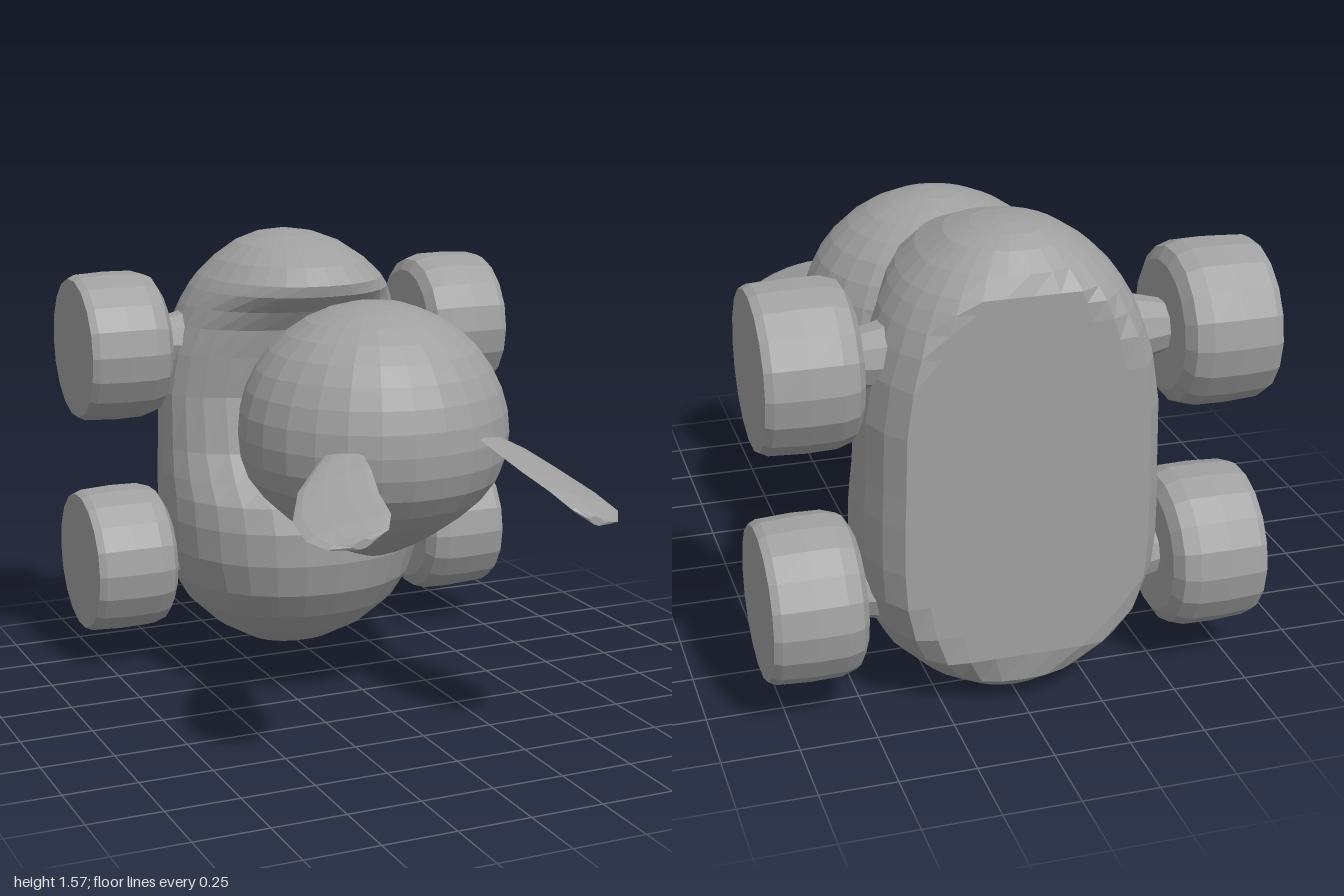
import * as THREE from 'three';

const grey = new THREE.MeshStandardMaterial({ color: 0xa0a0a0, flatShading: true });
grey.name = 'plain grey';

function add(parent, name, geometry) {
  const mesh = new THREE.Mesh(geometry, grey);
  mesh.name = name;
  parent.add(mesh);
  return mesh;
}

// Skins a list of closed rings (arrays of [x, y, z]) and closes both ends with fans
function loft(rings) {
  const n = rings[0].length;
  const points = rings.flat();
  const index = [];
  for (let r = 0; r < rings.length - 1; r++) {
    for (let i = 0; i < n; i++) {
      const a = r * n + i, b = r * n + (i + 1) % n;
      index.push(a, a + n, b, b, a + n, b + n);
    }
  }
  const cap = (row, flip) => {
    const centre = points.length;
    points.push([0, 1, 2].map(k => rings[row].reduce((s, p) => s + p[k], 0) / n));
    for (let i = 0; i < n; i++) {
      const a = row * n + i, b = row * n + (i + 1) % n;
      index.push(centre, flip ? b : a, flip ? a : b);
    }
  };
  cap(0, false);
  cap(rings.length - 1, true);
  const g = new THREE.BufferGeometry();
  g.setAttribute('position', new THREE.Float32BufferAttribute(points.flat(), 3));
  g.setIndex(index);
  g.computeVertexNormals();
  return g;
}

// Upright body: bulging ends, a saddle in front and a flat back
function bodyGeometry() {
  // height, half width, front z, back z before flattening
  const rows = [
    [0.004, 0.05, -0.64, -0.76], [0.03, 0.17, -0.54, -0.86], [0.1, 0.29, -0.41, -0.95],
    [0.2, 0.395, -0.295, -1.03], [0.3, 0.45, -0.225, -1.1], [0.42, 0.485, -0.19, -1.14],
    [0.54, 0.495, -0.19, -1.15], [0.63, 0.495, -0.225, -1.15], [0.7, 0.495, -0.31, -1.15],
    [0.8, 0.49, -0.4, -1.15], [1.0, 0.485, -0.45, -1.15], [1.15, 0.46, -0.425, -1.14],
    [1.25, 0.425, -0.4, -1.11], [1.32, 0.395, -0.35, -1.07], [1.38, 0.36, -0.28, -1.03],
    [1.42, 0.33, -0.27, -1.0], [1.48, 0.27, -0.33, -0.94], [1.535, 0.19, -0.46, -0.88],
    [1.565, 0.11, -0.57, -0.82], [1.578, 0.03, -0.66, -0.74],
  ];
  const sides = 28, mid = -0.7;
  return loft(rows.map(([y, w, front, back]) => Array.from({ length: sides }, (_, i) => {
    const a = i / sides * Math.PI * 2, c = Math.cos(a), s = Math.sin(a);
    const x = w * Math.sign(c) * Math.abs(c) ** 0.9;
    const z = mid + (s > 0 ? (front - mid) * s ** 0.95 : (mid - back) * s);
    return [x, y, Math.max(z, -0.965)];
  })));
}

// Round head, tapering to the chin, cut flat behind
function headGeometry() {
  const g = new THREE.SphereGeometry(0.465, 26, 18);
  const p = g.attributes.position;
  for (let i = 0; i < p.count; i++) {
    const y = p.getY(i);
    const t = Math.max(0, (-y - 0.1) / 0.365);
    const k = 1 - 0.42 * t * t;
    p.setXYZ(i, p.getX(i) * k, y * 0.953, Math.max(p.getZ(i) * k, -0.365));
  }
  g.computeVertexNormals();
  return g;
}

// Thin leaf ear; rows of z, centre x, centre y, half width
function earGeometry(rows, slope) {
  const sides = 10;
  return loft(rows.map(([z, cx, cy, w]) => Array.from({ length: sides }, (_, i) => {
    const a = -i / sides * Math.PI * 2;
    const dx = w * Math.cos(a);
    return [cx + dx, cy + dx * slope + 0.014 * Math.sin(a), z];
  })));
}

function wheelGeometry() {
  const profile = [[0, 0.51], [0.21, 0.505], [0.25, 0.53], [0.266, 0.58], [0.268, 0.68],
    [0.262, 0.79], [0.25, 0.815], [0, 0.815]];
  return new THREE.LatheGeometry(profile.map(([r, y]) => new THREE.Vector2(r, y)), 18);
}

export function createModel() {
  const model = new THREE.Group();
  model.name = 'wheeled animal toy';

  add(model, 'body', bodyGeometry());
  add(model, 'head', headGeometry()).position.set(0, 0.975, 0.09);

  // Neck stub just behind the head
  const neck = add(model, 'neck', new THREE.CylinderGeometry(0.19, 0.22, 0.2, 18));
  neck.rotation.x = Math.PI / 2;
  neck.position.set(0, 0.98, -0.4);

  add(model, 'rightEar', earGeometry([
    [0.38, -0.25, 0.99, 0.05], [0.48, -0.3, 0.975, 0.085], [0.6, -0.365, 0.945, 0.125],
    [0.75, -0.425, 0.9, 0.145], [0.88, -0.44, 0.87, 0.14], [0.95, -0.44, 0.85, 0.1],
    [0.985, -0.44, 0.845, 0.03],
  ], 0.2));
  add(model, 'leftEar', earGeometry([
    [0.38, 0.27, 0.995, 0.06], [0.48, 0.295, 0.975, 0.1], [0.6, 0.325, 0.94, 0.12],
    [0.75, 0.355, 0.9, 0.135], [0.88, 0.375, 0.865, 0.125], [0.96, 0.365, 0.84, 0.085],
    [0.99, 0.355, 0.83, 0.025],
  ], -0.35));

  // Four wheels on short stubs
  for (const side of [-1, 1]) {
    for (const [place, y] of [['lower', 0.388], ['upper', 1.183]]) {
      const unit = new THREE.Group();
      unit.name = place + (side > 0 ? 'Left' : 'Right') + 'Wheel';
      unit.position.set(0, y, -0.728);
      unit.rotation.z = -side * Math.PI / 2;
      add(unit, 'wheel', wheelGeometry());
      add(unit, 'axle', new THREE.CylinderGeometry(0.08, 0.12, 0.16, 10)).position.y = 0.45;
      model.add(unit);
    }
  }
  return model;
}
